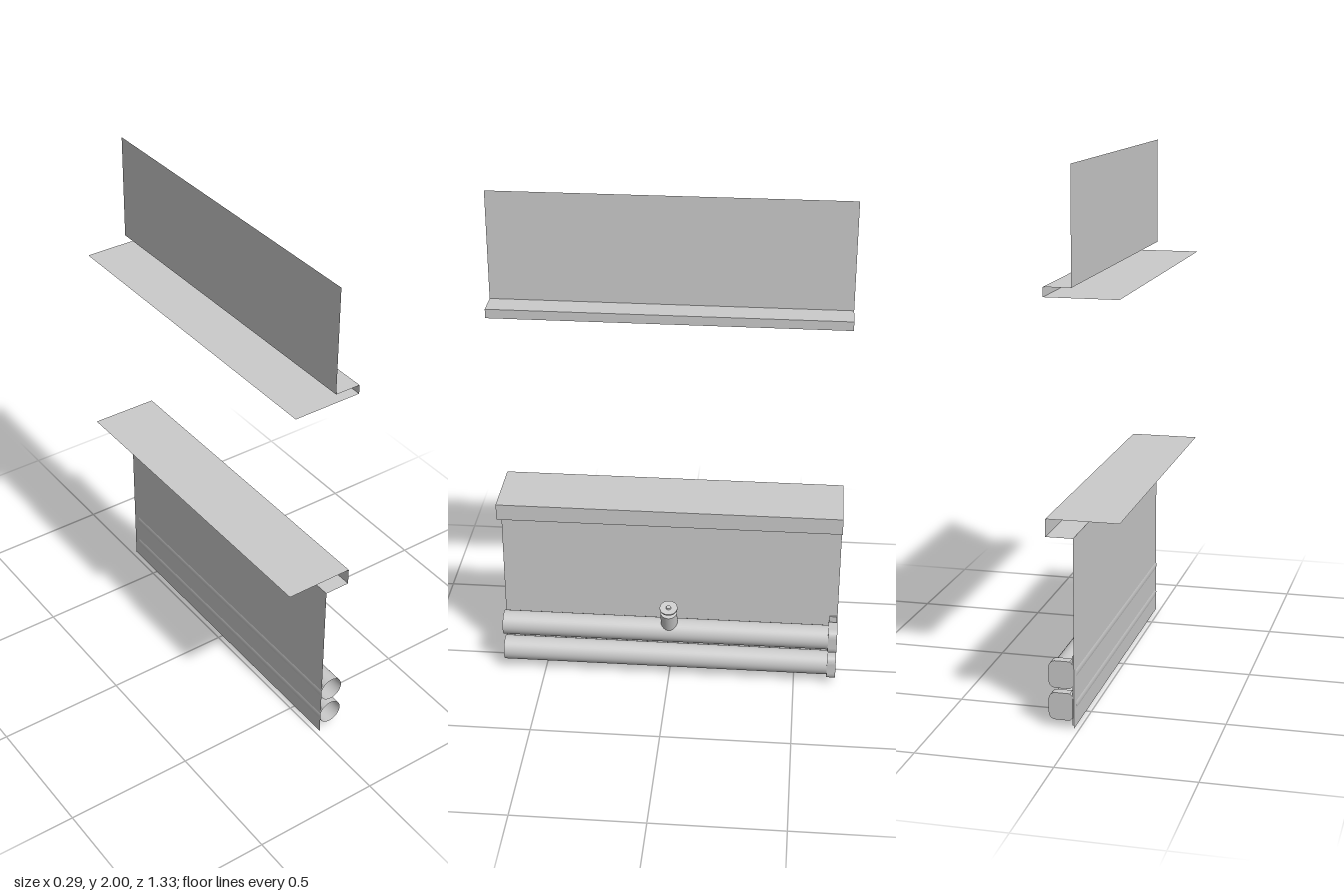
import * as THREE from 'three';

const HALF = 0.665; // half of the length along z

const sheetMat = new THREE.MeshStandardMaterial({ color: 0xcccccc, side: THREE.DoubleSide, flatShading: true });
const smoothMat = new THREE.MeshStandardMaterial({ color: 0xcccccc, side: THREE.DoubleSide });

function add(parent, name, geometry, material = smoothMat) {
  const mesh = new THREE.Mesh(geometry, material);
  mesh.name = name;
  parent.add(mesh);
  return mesh;
}

// Folded thin sheet: an x/y profile swept along z
function foldedSheet(profile) {
  const pos = [];
  for (let i = 0; i < profile.length - 1; i++) {
    const [ax, ay] = profile[i], [bx, by] = profile[i + 1];
    pos.push(ax, ay, HALF, bx, by, HALF, bx, by, -HALF);
    pos.push(ax, ay, HALF, bx, by, -HALF, ax, ay, -HALF);
  }
  const g = new THREE.BufferGeometry();
  g.setAttribute('position', new THREE.Float32BufferAttribute(pos, 3));
  g.computeVertexNormals();
  return g;
}

// Rounded end clip that grips a pipe, flat towards the wall
function clipGeometry(y) {
  const l = 0.025, r = 0.114, b = y - 0.051, t = y + 0.051, c = 0.028, s = 0.01;
  const shape = new THREE.Shape();
  shape.moveTo(l + s, b);
  shape.lineTo(r - c, b);
  shape.quadraticCurveTo(r - 0.002, b, r, b + c);
  shape.lineTo(r, t - c);
  shape.quadraticCurveTo(r - 0.002, t, r - c, t);
  shape.lineTo(l + s, t);
  shape.lineTo(l, t - s);
  shape.lineTo(l, b + s);
  shape.closePath();
  return new THREE.ExtrudeGeometry(shape, { depth: 0.035, bevelEnabled: false, curveSegments: 10 });
}

export function createModel() {
  const group = new THREE.Group();
  group.name = 'wallPanelWithPipes';

  // Upper wall panel folding into the head channel of the opening
  add(group, 'upperWall', foldedSheet([[0.02, 2], [0.02, 1.585], [0.12, 1.585], [0.12, 1.55], [-0.148, 1.55]]), sheetMat);

  // Sill with front lip, folding back under to the lower wall panel
  add(group, 'lowerWall', foldedSheet([[-0.148, 0.77], [0.12, 0.77], [0.12, 0.705], [0.02, 0.705], [0.02, 0]]), sheetMat);

  // Two open pipes with their end clips
  const pipeX = 0.066, pipeYs = { lower: 0.079, upper: 0.199 };
  for (const [key, y] of Object.entries(pipeYs)) {
    const pipe = add(group, key + 'Pipe', new THREE.CylinderGeometry(0.048, 0.048, 1.3, 40, 1, true).rotateX(Math.PI / 2));
    pipe.position.set(pipeX, y, 0.015);
    add(group, key + 'Clip', clipGeometry(y)).position.z = -HALF;
  }
  add(group, 'clipBackPlate', new THREE.BoxGeometry(0.006, 0.26, 0.03)).position.set(0.023, 0.14, -0.648);

  // Valve leaning outwards from the upper pipe
  const valve = new THREE.Group();
  valve.name = 'valve';
  valve.position.set(pipeX, pipeYs.upper, 0);
  valve.rotation.z = -THREE.MathUtils.degToRad(18);
  group.add(valve);
  add(valve, 'valveBody', new THREE.CylinderGeometry(0.033, 0.033, 0.084, 32)).position.y = 0.068;
  add(valve, 'valveStem', new THREE.CylinderGeometry(0.013, 0.013, 0.03, 20)).position.y = 0.12;
  add(valve, 'valveDisc', new THREE.CylinderGeometry(0.035, 0.035, 0.006, 32)).position.y = 0.135;
  add(valve, 'valveHub', new THREE.CylinderGeometry(0.009, 0.011, 0.006, 20)).position.y = 0.14;

  return group;
}
